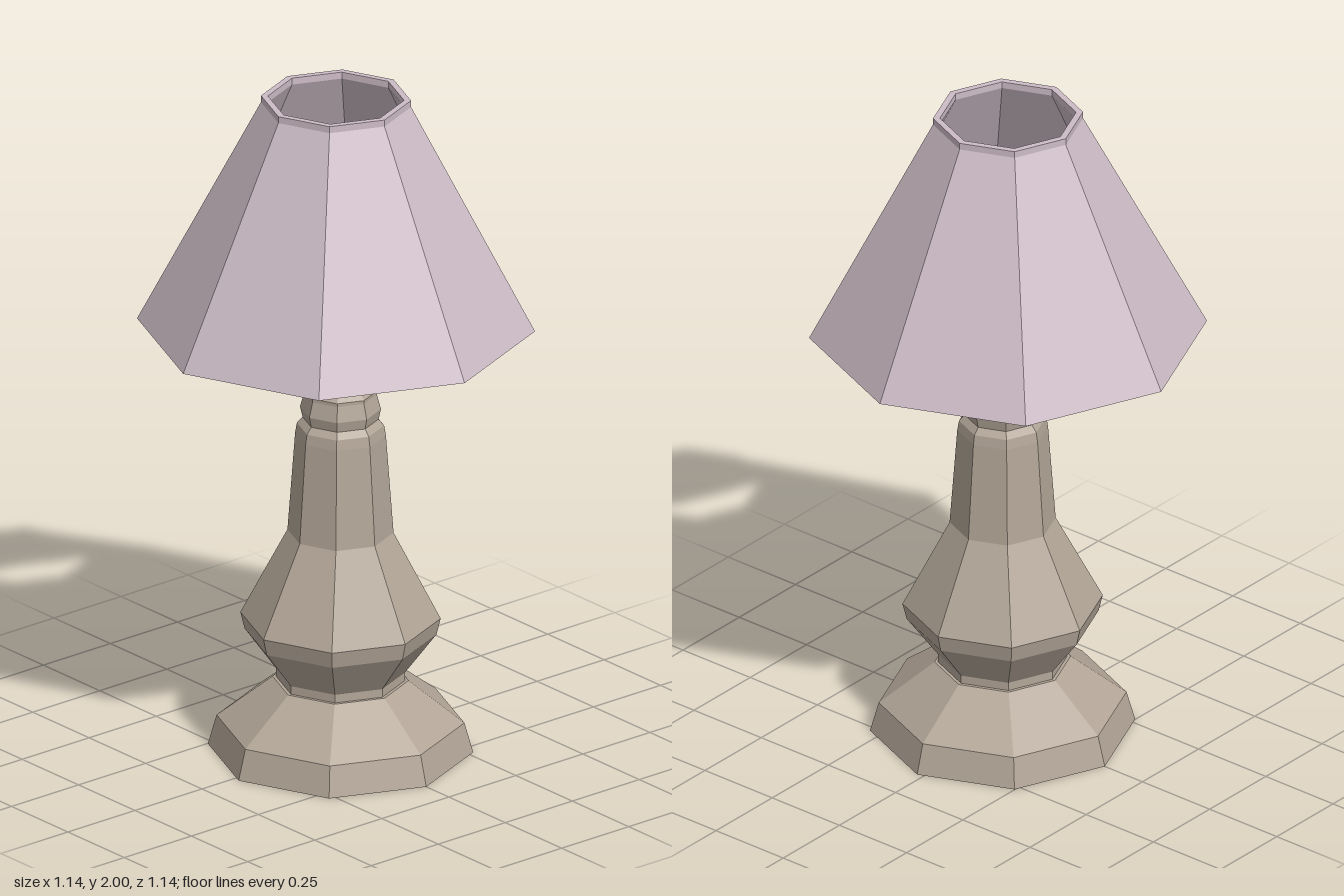
import * as THREE from 'three';

export function createModel() {
  const lamp = new THREE.Group();
  lamp.name = 'tableLamp';

  const paint = (color) =>
    new THREE.MeshStandardMaterial({ color, flatShading: true, side: THREE.DoubleSide });
  const clay = paint(0xb3a698);
  const fabric = paint(0xcdbcc6);
  const glass = paint(0xe0e0cc);

  // Turns a [radius, height] profile into a faceted part
  function turned(name, profile, sides, material, x = 0, z = 0, start = 0) {
    const points = profile.map(([r, y]) => new THREE.Vector2(r, y));
    const mesh = new THREE.Mesh(new THREE.LatheGeometry(points, sides, start), material);
    mesh.name = name;
    mesh.position.set(x, 0, z);
    lamp.add(mesh);
  }

  const axis = 0.02; // the stand sits slightly off the shade's centre

  // Hollow foot, open underneath
  turned('foot', [[0.38, 0], [0.355, 0.09], [0.195, 0.215], [0.17, 0.215]], 8, clay, axis);

  // Vase-shaped body with a closed bottom
  turned('body', [
    [0, 0.205], [0.185, 0.205], [0.185, 0.24], [0.275, 0.36], [0.287, 0.41],
    [0.152, 0.67], [0.13, 0.97], [0.125, 1.0], [0.108, 1.02], [0, 1.02],
  ], 8, clay, axis);

  // Collar with two ridges
  turned('collar', [
    [0.108, 1.015], [0.116, 1.05], [0.104, 1.095], [0.104, 1.105], [0.09, 1.12],
    [0.09, 1.17], [0.106, 1.212], [0.104, 1.23], [0.085, 1.245], [0, 1.245],
  ], 8, clay, axis);

  // Socket neck
  turned('socket', [[0.068, 1.24], [0.052, 1.3], [0.05, 1.34], [0.068, 1.39], [0, 1.39]], 8, clay, axis);

  // Five-sided bulb, one corner to the back
  turned('bulb', [
    [0, 1.385], [0.07, 1.385], [0.165, 1.47], [0.17, 1.57], [0.108, 1.64], [0, 1.64],
  ], 5, glass, 0.016, 0.01, Math.PI);

  // Thick-walled shade, open at both ends
  turned('shade', [
    [0.55, 1.3], [0.57, 1.3], [0.215, 1.98], [0.215, 2], [0.195, 2], [0.195, 1.98], [0.55, 1.3],
  ], 8, fabric);

  return lamp;
}
